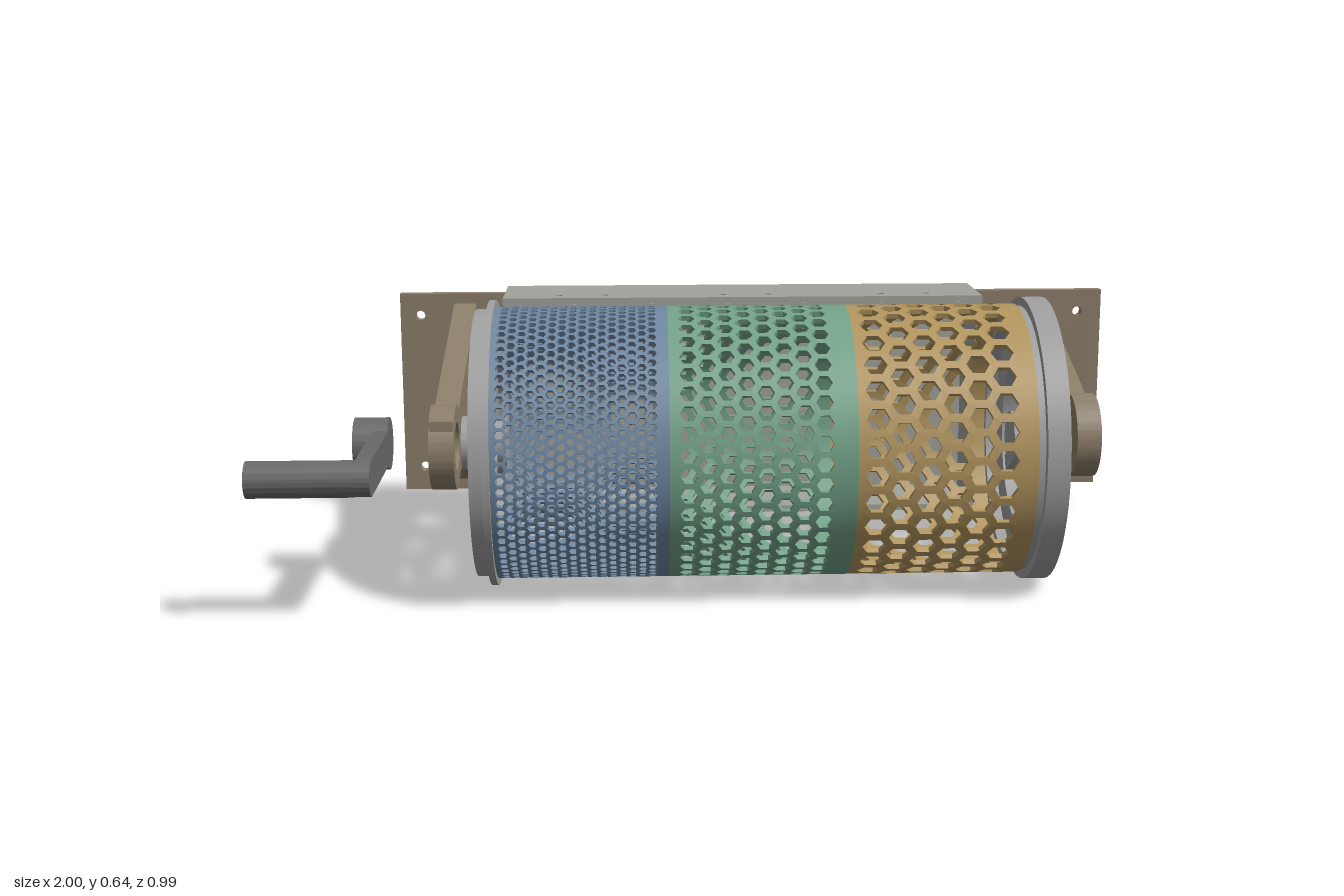
import * as THREE from 'three';
import { toCreasedNormals } from 'three/addons/utils/BufferGeometryUtils.js';

const CY = 0.32, CZ = 0.12, R_OUT = 0.305, R_IN = 0.294;
const mat = (color, side = THREE.FrontSide) => new THREE.MeshStandardMaterial({ color, side });
const steel = mat(0xa0a0a0), dark = mat(0x6a6a6a), bronze = mat(0x8d7f6b), casing = mat(0xa3a39d);

function add(parent, name, geometry, material) {
  const mesh = new THREE.Mesh(geometry, material);
  mesh.name = name;
  parent.add(mesh);
  return mesh;
}

// Box given by its limits
function box(parent, name, [x0, x1], [y0, y1], [z0, z1], material) {
  const m = add(parent, name, new THREE.BoxGeometry(x1 - x0, y1 - y0, z1 - z0), material);
  m.position.set((x0 + x1) / 2, (y0 + y1) / 2, (z0 + z1) / 2);
  return m;
}

function circleHole(shape, x, y, r) {
  shape.holes.push(new THREE.Path().absarc(x, y, r, 0, Math.PI * 2, true));
}

function extrude(shape, depth, curveSegments = 32) {
  return toCreasedNormals(new THREE.ExtrudeGeometry(shape, { depth, bevelEnabled: false, curveSegments }), 0.5);
}

// Side profile drawn in (-z, y), extruded along x from x0 to x1
function extrudeX(shape, x0, x1, segments) {
  return extrude(shape, x1 - x0, segments).rotateY(Math.PI / 2).translate(x0, 0, 0);
}

// Ring or solid disc around an axis parallel to x
function ring(parent, name, ri, ro, x0, x1, material, z = CZ) {
  const s = new THREE.Shape().absarc(-z, CY, ro, 0, Math.PI * 2, false);
  if (ri > 0) circleHole(s, -z, CY, ri);
  return add(parent, name, extrudeX(s, x0, x1, 36), material);
}

// Staggered hexagonal holes in a rolled sheet; each hole sits in a rectangular cell
function perforatedSheet(x0, x1, pitch) {
  const cols = Math.round((x1 - x0) / (pitch * 0.866));
  const rows = Math.round(2 * Math.PI * R_OUT / pitch);
  const w = (x1 - x0) / cols / 2, h = Math.PI / rows, R = pitch * 0.41;
  const edge = [[1, 0], [1, 1], [-1, 1], [-1, 0], [-1, -1], [1, -1]];
  const pos = [];
  const point = (u, a, r) => [u, CY + r * Math.cos(a), CZ + r * Math.sin(a)];
  const quad = (a, b, c, d) => pos.push(...a, ...b, ...c, ...a, ...c, ...d);
  for (let i = 0; i < cols; i++) {
    const u = x0 + (2 * i + 1) * w;
    for (let j = 0; j < rows; j++) {
      const a = (2 * j + (i % 2)) * h;
      const hole = (k, r) => point(u + R * Math.cos(k * Math.PI / 3), a + R * Math.sin(k * Math.PI / 3) / R_OUT, r);
      const rim = (k, r) => point(u + w * edge[k % 6][0], a + h * edge[k % 6][1], r);
      for (let k = 0; k < 6; k++) {
        quad(hole(k, R_OUT), hole(k + 1, R_OUT), rim(k + 1, R_OUT), rim(k, R_OUT));
        quad(hole(k, R_IN), rim(k, R_IN), rim(k + 1, R_IN), hole(k + 1, R_IN));
        quad(hole(k, R_OUT), hole(k, R_IN), hole(k + 1, R_IN), hole(k + 1, R_OUT));
      }
    }
  }
  const g = new THREE.BufferGeometry();
  g.setAttribute('position', new THREE.Float32BufferAttribute(pos, 3));
  g.computeVertexNormals();
  return g;
}

// Spoked end of the drum
function endWheel(parent, name, ro, x0, x1) {
  const wheel = new THREE.Group();
  wheel.name = name;
  parent.add(wheel);
  ring(wheel, 'rim', 0.197, ro, x0, x1, steel);
  for (let k = 0; k < 3; k++) {
    const g = new THREE.BoxGeometry(x1 - x0 - 0.01, 0.19, 0.036).translate(0, 0.125, 0);
    const spoke = add(wheel, 'spoke', g, steel);
    spoke.position.set((x0 + x1) / 2, CY, CZ);
    spoke.rotation.x = k * Math.PI * 2 / 3;
  }
}

// Wall bracket: round bearing head, arm, flared gusset and wall plate
function bracket(parent, name, xc, headZ, holeR, plateX0, plateX1, boltXs) {
  const b = new THREE.Group();
  b.name = name;
  parent.add(b);
  const half = 0.073, r = 0.095, t = Math.asin(half / r);
  const s = new THREE.Shape();
  s.moveTo(0.3, CY + half);
  s.absarc(-headZ, CY, r, t, Math.PI * 2 - t, false);
  s.lineTo(0.3, CY - half);
  s.lineTo(0.468, 0.095);
  s.lineTo(0.468, 0.55);
  s.closePath();
  circleHole(s, -headZ, CY, holeR);
  add(b, 'arm', extrudeX(s, xc - 0.0275, xc + 0.0275), bronze);

  const p = new THREE.Shape();
  p.moveTo(plateX0, 0.07);
  p.lineTo(plateX1, 0.07);
  p.lineTo(plateX1, 0.575);
  p.lineTo(plateX0, 0.575);
  p.closePath();
  for (const x of boltXs) for (const y of [0.13, 0.52]) circleHole(p, x, y, 0.012);
  add(b, 'wallPlate', extrude(p, 0.028, 8).translate(0, 0, -0.495), bronze);
  return b;
}

export function createModel() {
  const model = new THREE.Group();
  model.name = 'rotaryScreen';

  // Drum in three grades of perforation: sheet limits, hole limits, pitch, colour
  const drum = new THREE.Group();
  drum.name = 'drum';
  model.add(drum);
  const grades = [
    ['fineScreen', -0.5, -0.12, -0.49, -0.145, 0.025, 0x7088a2],
    ['mediumScreen', -0.12, 0.28, -0.1, 0.23, 0.045, 0x74a389],
    ['coarseScreen', 0.28, 0.665, 0.295, 0.625, 0.062, 0xb3965f],
  ];
  for (const [name, x0, x1, h0, h1, pitch, color] of grades) {
    const m = mat(color, THREE.DoubleSide);
    add(drum, name, perforatedSheet(h0, h1, pitch), m);
    ring(drum, name + 'Band', R_IN, R_OUT, x0, h0, m);
    ring(drum, name + 'Band', R_IN, R_OUT, h1, x1, m);
  }

  // Drum ends
  endWheel(drum, 'leftWheel', 0.32, 0.68, 0.73);
  ring(drum, 'leftCollar', 0.275, 0.3, 0.655, 0.68, steel);
  endWheel(drum, 'rightWheel', 0.293, -0.53, -0.495);
  ring(drum, 'rightFlange', 0.285, 0.32, -0.515, -0.5, steel);
  ring(drum, 'rightLip', 0.28, 0.3, -0.545, -0.515, steel);
  ring(drum, 'leftHub', 0, 0.06, 0.66, 0.77, steel);
  ring(drum, 'rightHub', 0, 0.06, -0.58, -0.48, steel);

  // Brackets
  bracket(model, 'leftBracket', 0.828, 0.095, 0.028, 0.66, 1, [0.72, 0.94]);
  const rb = bracket(model, 'rightBracket', -0.617, 0.16, 0.055, -0.78, -0.51, [-0.73, -0.545]);
  box(rb, 'headCorner', [-0.643, -0.591], [0.362, 0.393], [0.205, 0.24], bronze);

  // Crank: hub, arm with round ends, grip
  const crank = new THREE.Group();
  crank.name = 'crank';
  model.add(crank);
  ring(crank, 'crankHub', 0, 0.059, -0.82, -0.743, dark);
  const arm = new THREE.Shape();
  arm.absarc(-0.458, CY, 0.038, Math.PI / 2, Math.PI * 1.5, false);
  arm.absarc(-CZ, CY, 0.038, -Math.PI / 2, Math.PI / 2, false);
  add(crank, 'crankArm', extrudeX(arm, -0.775, -0.741), dark);
  ring(crank, 'grip', 0, 0.039, -1, -0.775, dark, 0.458);

  // Collecting box, open towards the drum, with three compartments
  const bin = new THREE.Group();
  bin.name = 'collectingBox';
  model.add(bin);
  const X = [-0.51, 0.66], Y = [0.05, 0.59], Z = [-0.495, -0.272], T = 0.015;
  box(bin, 'backWall', X, Y, [Z[0], Z[0] + T], casing);
  box(bin, 'floor', X, [Y[0], Y[0] + T], [Z[0] + T, Z[1]], casing);
  for (const x of [X[0], -0.128, 0.272, X[1] - T])
    box(bin, 'divider', [x, x + T], [Y[0] + T, Y[1] - T], [Z[0] + T, Z[1]], casing);
  box(bin, 'topLip', X, [Y[1] - 0.04, Y[1] - T], [Z[1] - 0.012, Z[1] + 0.0005], casing);

  const lid = new THREE.Shape();
  lid.moveTo(X[0], -Z[1]);
  lid.lineTo(X[1], -Z[1]);
  lid.lineTo(X[1], -Z[0] - T);
  lid.lineTo(X[0], -Z[0] - T);
  lid.closePath();
  for (const x of [-0.32, 0.08, 0.47]) {
    for (const side of [-1, 1]) circleHole(lid, x + side * 0.056, 0.318, 0.009);
    box(bin, 'floorHatch', [x - 0.07, x + 0.07], [Y[0] - 0.003, Y[0]], [-0.43, -0.33], casing);
  }
  add(bin, 'lid', extrude(lid, T, 8).rotateX(-Math.PI / 2).translate(0, Y[1] - T, 0), casing);

  return model;
}
